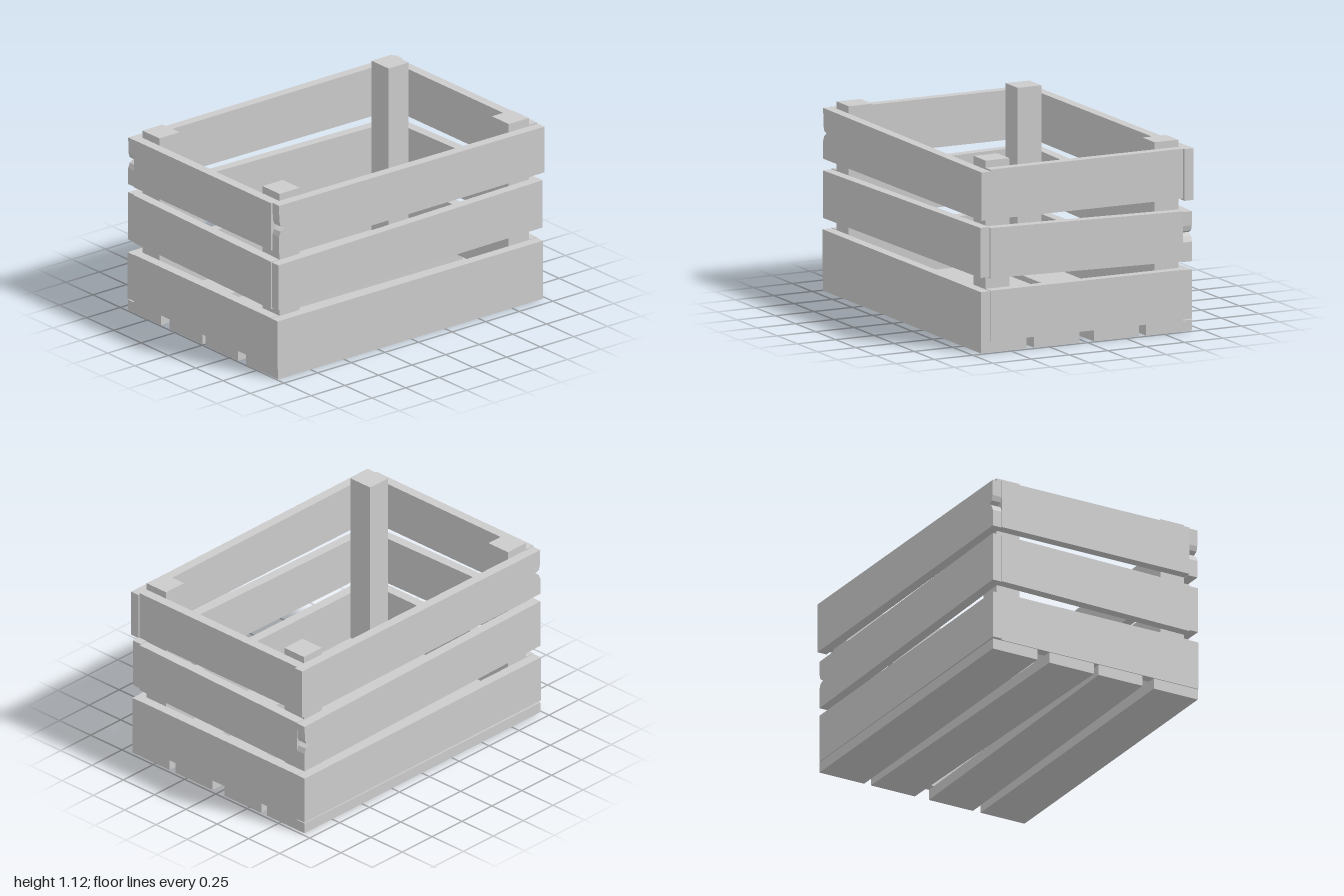
import * as THREE from 'three';

const material = new THREE.MeshStandardMaterial({ color: 0xcccccc, flatShading: true });

// Plank outline: u0..u1 long, [bottom, top] heights at each end, optional chipped ends.
function outline(u0, u1, [b0, t0], [b1, t1], chip0, chip1) {
  const chip = (u, y, s) => [[0, -0.05], [0.012, -0.02], [0.042, 0], [0.012, 0.014], [0.003, 0.045]]
    .map(([d, dy]) => [u + s * d, y + dy]);
  const pts = [[u0, b0], [u1, b1]];
  if (chip1) pts.push(...chip(u1, chip1, -1));
  pts.push([u1, t1], [u0, t0]);
  if (chip0) pts.push(...chip(u0, chip0, 1).reverse());
  return new THREE.Shape(pts.map(([x, y]) => new THREE.Vector2(x, y)));
}

const extrude = (shape, depth) => new THREE.ExtrudeGeometry(shape, { depth, bevelEnabled: false });

export function createModel() {
  const crate = new THREE.Group();
  crate.name = 'crate';
  const add = (name, geometry) => {
    const mesh = new THREE.Mesh(geometry, material);
    mesh.name = name;
    crate.add(mesh);
  };

  // Long side slats, bottom to top: x range, heights at -x and +x, chips
  const front = [
    [-0.995, 0.98, [0.065, 0.362], [0.065, 0.362]],
    [-0.99, 0.975, [0.43, 0.71], [0.445, 0.74]],
    [-0.985, 0.99, [0.78, 1.08], [0.785, 1.07], 0.935],
  ];
  const back = [
    [-0.995, 0.98, [0.075, 0.362], [0.07, 0.362]],
    [-0.99, 0.98, [0.44, 0.735], [0.41, 0.705], 0, 0.575],
    [-0.99, 1, [0.785, 1.075], [0.775, 1.08], 0.935],
  ];
  front.forEach((s, i) => add(`frontSlat${i + 1}`, extrude(outline(...s), 0.06).translate(0, 0, 0.626)));
  back.forEach((s, i) => add(`backSlat${i + 1}`, extrude(outline(...s), 0.06).translate(0, 0, -0.69)));

  // End slats: heights at the back and at the front
  const ends = {
    left: [0.982, [[0.065, 0.365], [0.065, 0.365]], [[0.415, 0.71], [0.438, 0.735]], [[0.785, 1.08], [0.785, 1.08]]],
    right: [-0.936, [[0.065, 0.365], [0.065, 0.365]], [[0.44, 0.735], [0.42, 0.715]], [[0.785, 1.08], [0.785, 1.08]]],
  };
  for (const [side, [x, ...slats]] of Object.entries(ends)) {
    slats.forEach(([b, f], i) => add(`${side}EndSlat${i + 1}`,
      extrude(outline(-0.63, 0.626, b, f), 0.06).rotateY(-Math.PI / 2).translate(x, 0, 0)));
  }

  // Floor slats: z ranges at -x and +x
  const floor = [
    [[-0.69, -0.39], [-0.69, -0.39]],
    [[-0.31, -0.01], [-0.345, -0.05]],
    [[0.02, 0.315], [0.045, 0.34]],
    [[0.39, 0.685], [0.39, 0.685]],
  ];
  floor.forEach(([a, b], i) => add(`floorSlat${i + 1}`,
    extrude(outline(-0.99, 0.98, a, b), 0.065).rotateX(Math.PI / 2).translate(0, 0.065, 0)));

  // Corner posts
  for (const x of [-0.857, 0.848]) {
    for (const z of [-0.553, 0.548]) {
      add(`${x > 0 ? 'left' : 'right'}${z > 0 ? 'Front' : 'Back'}Post`,
        new THREE.BoxGeometry(0.15, 1.057, 0.155).translate(x, 0.5935, z));
    }
  }
  return crate;
}
